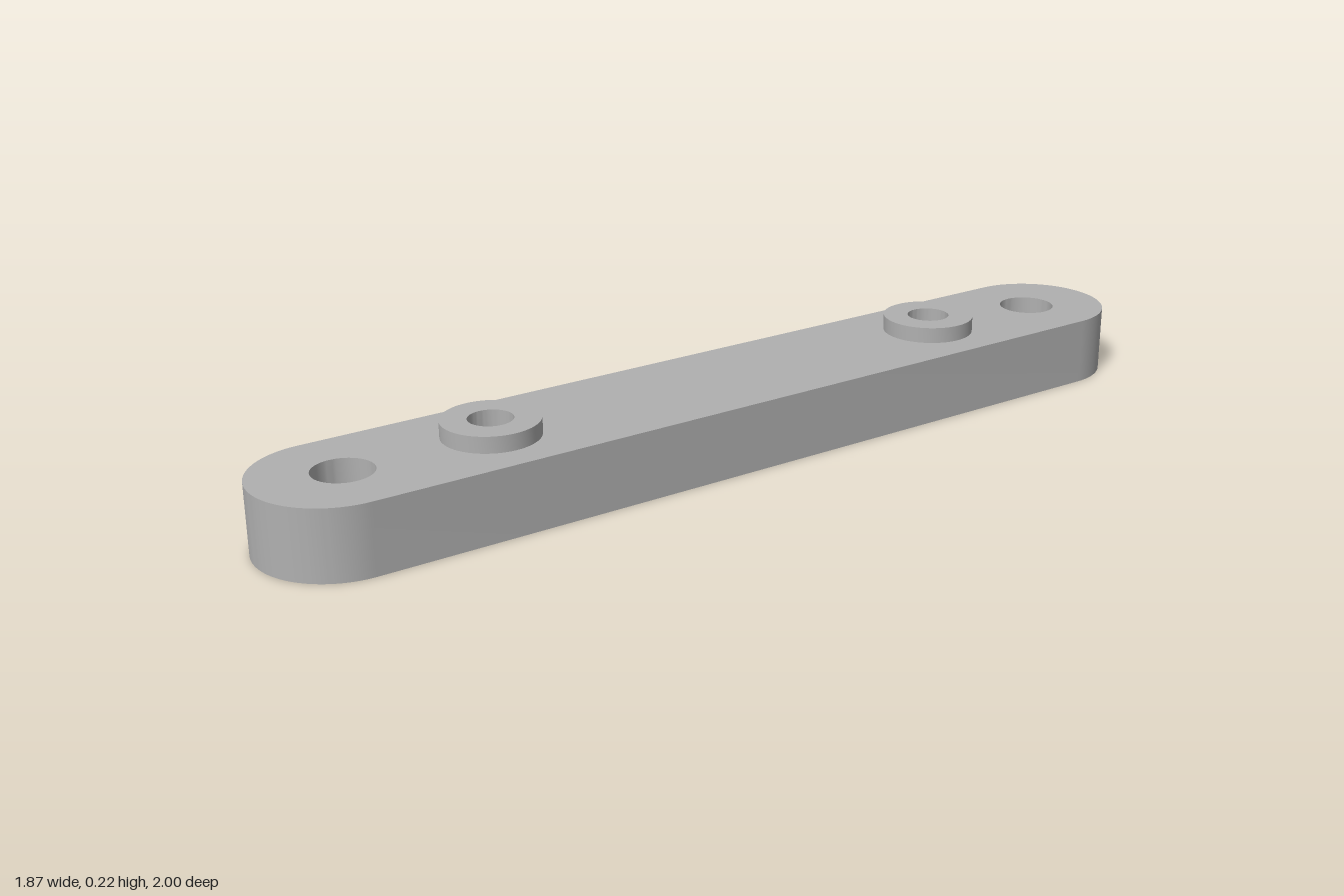
import * as THREE from 'three';
import { toCreasedNormals } from 'three/addons/utils/BufferGeometryUtils.js';

const HALF = 1.086;   // end-arc centre distance from the middle
const RADIUS = 0.2;
const HEIGHT = 0.18;
const LEDGE = 0.09;   // depth of the counterbores from below
const BOSS_TOP = 0.222;
const END = { x: 1.064, narrow: 0.075, wide: 0.137 };
const BOSS = { x: 0.685, narrow: 0.056, wide: 0.094, outer: 0.122 };

// Rounded bar outline, with circular holes given as [x, radius]
function outline(holes = []) {
  const s = new THREE.Shape();
  s.absarc(HALF, 0, RADIUS, -Math.PI / 2, Math.PI / 2, false);
  s.absarc(-HALF, 0, RADIUS, Math.PI / 2, Math.PI * 1.5, false);
  s.closePath();
  for (const [x, r] of holes) {
    s.holes.push(new THREE.Path().absarc(x, 0, r, 0, Math.PI * 2, true));
  }
  return s;
}

const mirrored = (x, r) => [[x, r], [-x, r]];

// Side wall only: an extrusion with its caps dropped
function wallGeometry() {
  const solid = new THREE.ExtrudeGeometry(outline(), { depth: HEIGHT, bevelEnabled: false, curveSegments: 32 });
  const { start, count } = solid.groups[1];
  const pos = solid.getAttribute('position').array.slice(start * 3, (start + count) * 3);
  const g = new THREE.BufferGeometry();
  g.setAttribute('position', new THREE.BufferAttribute(pos, 3));
  return toCreasedNormals(g.rotateX(-Math.PI / 2), 0.5);
}

function turned(points) {
  const g = new THREE.LatheGeometry(points.map(([r, y]) => new THREE.Vector2(r, y)), 64);
  return toCreasedNormals(g, 0.5);
}

export function createModel() {
  const group = new THREE.Group();
  group.name = 'mountingBar';
  const grey = new THREE.MeshStandardMaterial({ color: 0xb0b0b0 });
  grey.name = 'grey';

  const add = (name, geometry, x = 0, y = 0) => {
    const mesh = new THREE.Mesh(geometry, grey);
    mesh.name = name;
    mesh.position.set(x, y, 0);
    group.add(mesh);
  };

  // Bar body
  const topHoles = [...mirrored(END.x, END.narrow), ...mirrored(BOSS.x, BOSS.outer)];
  const bottomHoles = [...mirrored(END.x, END.wide), ...mirrored(BOSS.x, BOSS.wide)];
  add('barTop', new THREE.ShapeGeometry(outline(topHoles), 32).rotateX(-Math.PI / 2), 0, HEIGHT);
  add('barBottom', new THREE.ShapeGeometry(outline(bottomHoles), 32).rotateX(Math.PI / 2));
  add('barWall', wallGeometry());

  // Stepped end holes and raised bosses with stepped bores
  const endHole = turned([
    [END.narrow, HEIGHT], [END.narrow, LEDGE], [END.wide, LEDGE], [END.wide, 0],
  ]);
  const boss = turned([
    [BOSS.outer, HEIGHT], [BOSS.outer, BOSS_TOP], [BOSS.narrow, BOSS_TOP],
    [BOSS.narrow, LEDGE], [BOSS.wide, LEDGE], [BOSS.wide, 0],
  ]);
  for (const side of [1, -1]) {
    const label = side > 0 ? 'left' : 'right';
    add(label + 'EndHole', endHole, side * END.x);
    add(label + 'Boss', boss, side * BOSS.x);
  }

  // The bar lies diagonally
  group.rotation.y = Math.atan2(0.8, 0.735);
  return group;
}
